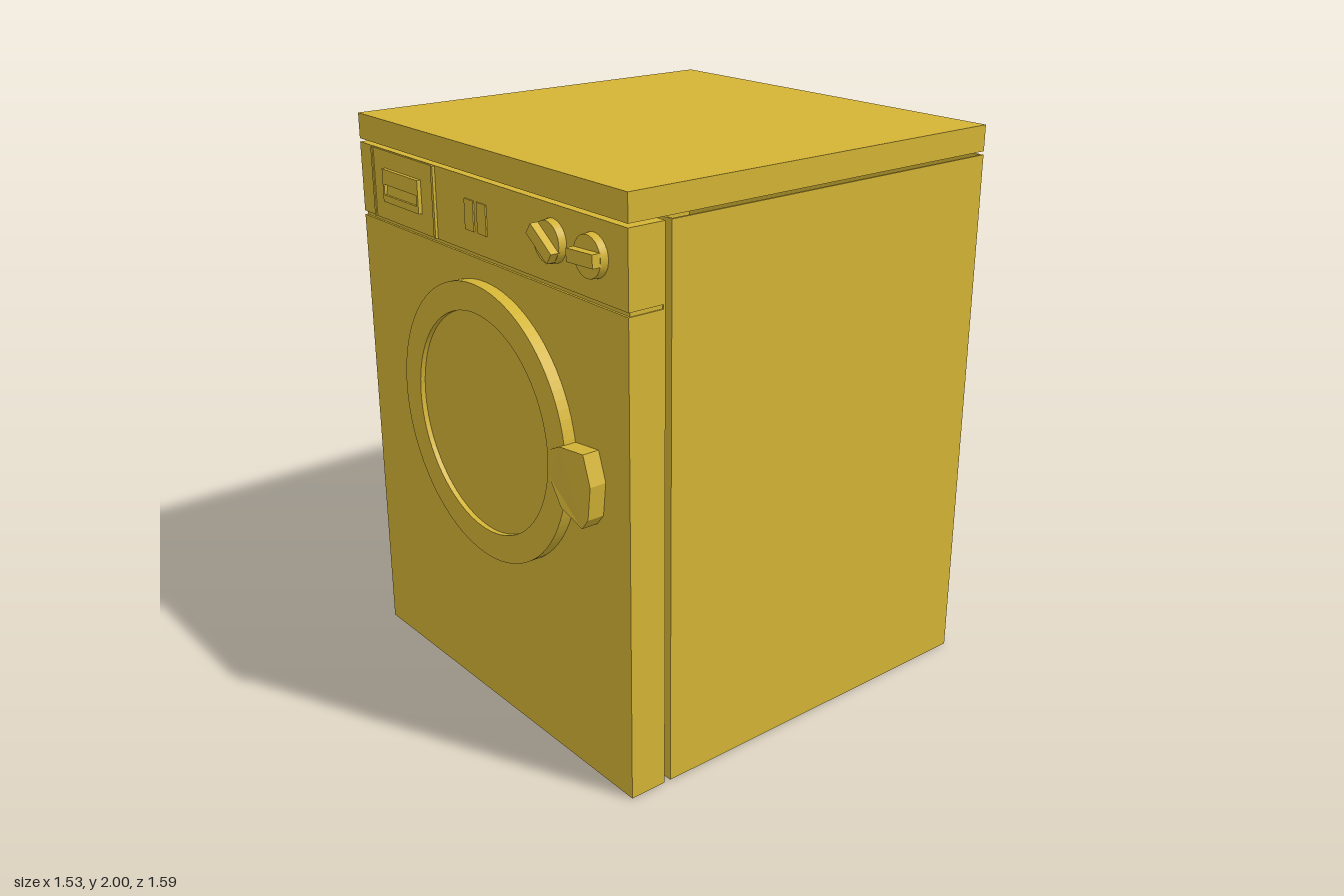
import * as THREE from 'three';

const W = 0.765, FRONT = 0.737, BACK = -0.79;

export function createModel() {
  const model = new THREE.Group();
  const material = new THREE.MeshStandardMaterial({ color: 0xd4b436, side: THREE.DoubleSide });

  const add = (name, geometry, parent = model) => {
    const mesh = new THREE.Mesh(geometry, material);
    mesh.name = name;
    parent.add(mesh);
    return mesh;
  };
  // box given by its limits on each axis
  const box = (name, x0, x1, y0, y1, z0, z1, parent) => {
    const mesh = add(name, new THREE.BoxGeometry(x1 - x0, y1 - y0, z1 - z0), parent);
    mesh.position.set((x0 + x1) / 2, (y0 + y1) / 2, (z0 + z1) / 2);
    return mesh;
  };
  const rectPoints = (x0, x1, y0, y1) =>
    [[x0, y0], [x1, y0], [x1, y1], [x0, y1]].map(([x, y]) => new THREE.Vector2(x, y));
  const extrude = (shape, z0, z1) => {
    const geometry = new THREE.ExtrudeGeometry(shape, { depth: z1 - z0, bevelEnabled: false, curveSegments: 48 });
    return geometry.translate(0, 0, z0);
  };
  // rectangular frame: outer limits and border width
  const frame = (name, x0, x1, y0, y1, border, z0, z1) => {
    const shape = new THREE.Shape(rectPoints(x0, x1, y0, y1));
    shape.holes.push(new THREE.Path(rectPoints(x0 + border, x1 - border, y0 + border, y1 - border)));
    return add(name, extrude(shape, z0, z1));
  };

  // worktop, floating on a narrow shadow gap
  box('worktop', -W, W, 1.91, 2, BACK, FRONT);

  // hollow cabinet, open underneath
  const t = 0.008;
  for (const s of [-1, 1]) {
    const x = s * (W - t / 2);
    box('sideWall', x - t / 2, x + t / 2, 0, 1.898, BACK, 0.578);
  }
  box('backWall', -W, W, 0, 1.898, BACK, BACK + t);
  frame('cabinetLip', -W, W, 0, 1.898, 0.05, 0.57, 0.578);

  // recessed neck joining cabinet and front tray
  frame('neckFrame', -W + 0.045, W - 0.045, 0.05, 1.85, 0.012, 0.574, 0.606);

  // front tray: face, folded rim and rear lip
  box('frontPanel', -W, W, 0, 1.636, FRONT - t, FRONT);
  frame('trayRim', -W, W, 0, 1.636, t, 0.603, FRONT - t);
  frame('frontLip', -W, W, 0, 1.898, 0.05, 0.602, 0.61);

  // control panel with a thin seam strip below
  box('controlPanel', -W, W, 1.65, 1.898, 0.603, FRONT);
  box('seamStrip', -W + 0.004, W - 0.004, 1.636, 1.65, 0.606, FRONT - 0.008);

  // detergent drawer with a recessed grip
  const drawer = new THREE.Group();
  drawer.name = 'detergentDrawer';
  model.add(drawer);
  for (const x of [-0.668, -0.27]) box('drawerEdge', x - 0.006, x + 0.006, 1.652, 1.896, FRONT, 0.747, drawer);
  box('drawerFace', -0.662, -0.276, 1.652, 1.896, FRONT, 0.743, drawer);
  const grip = new THREE.Shape(rectPoints(-0.585, -0.35, 1.72, 1.835));
  grip.holes.push(new THREE.Path(rectPoints(-0.575, -0.36, 1.745, 1.782)));
  add('gripFrame', extrude(grip, 0.743, 0.757), drawer);
  const slope = box('gripSlope', -0.575, -0.36, 1.742, 1.782, 0.743, 0.746, drawer);
  slope.rotation.x = -0.2;

  // push buttons
  for (const x of [-0.058, 0.015]) box('pushButton', x - 0.026, x + 0.026, 1.722, 1.824, FRONT, 0.742);

  // rotary knobs: dial with a grip bar
  for (const [x, angle] of [[0.402, -0.62], [0.605, 0.05]]) {
    const knob = new THREE.Group();
    knob.name = 'rotaryKnob';
    const dial = add('knobDial', new THREE.CylinderGeometry(0.066, 0.069, 0.026, 32), knob);
    dial.rotation.x = Math.PI / 2;
    dial.position.z = 0.013;
    box('knobGrip', -0.064, 0.064, -0.021, 0.021, 0.02, 0.054, knob);
    knob.position.set(x, 1.785, FRONT);
    knob.rotation.z = angle;
    model.add(knob);
  }

  // door ring and glass
  const door = new THREE.Group();
  door.name = 'door';
  model.add(door);
  const cx = 0.017, cy = 1.083;
  const ring = new THREE.Shape().absarc(cx, cy, 0.483, 0, Math.PI * 2);
  ring.holes.push(new THREE.Path().absarc(cx, cy, 0.385, 0, Math.PI * 2, true));
  add('doorRing', extrude(ring, FRONT, 0.78), door);
  const glass = add('doorGlass', new THREE.CircleGeometry(0.387, 64), door);
  glass.position.set(cx, cy, 0.762);

  // door handle, ramping up from the ring
  const outline = [[0.405, 1.03], [0.49, 0.958], [0.6, 0.925], [0.632, 0.965], [0.646, 1.08], [0.612, 1.177], [0.49, 1.163], [0.405, 1.12]];
  const handleShape = new THREE.Shape(outline.map(([x, y]) => new THREE.Vector2(x, y)));
  const handle = extrude(handleShape, FRONT, 0.796);
  const p = handle.attributes.position;
  for (let i = 0; i < p.count; i++) {
    if (p.getZ(i) > 0.76 && p.getX(i) < 0.45) p.setZ(i, 0.779);
  }
  handle.computeVertexNormals();
  add('doorHandle', handle, door);

  // drum behind the door, closed at the rear
  const profile = [[0, -0.3], [0.385, -0.3], [0.385, -0.3], [0.385, FRONT - t]];
  const drum = add('drum', new THREE.LatheGeometry(profile.map(([r, y]) => new THREE.Vector2(r, y)), 48));
  drum.rotation.x = Math.PI / 2;
  drum.position.set(cx, cy, 0);

  return model;
}
